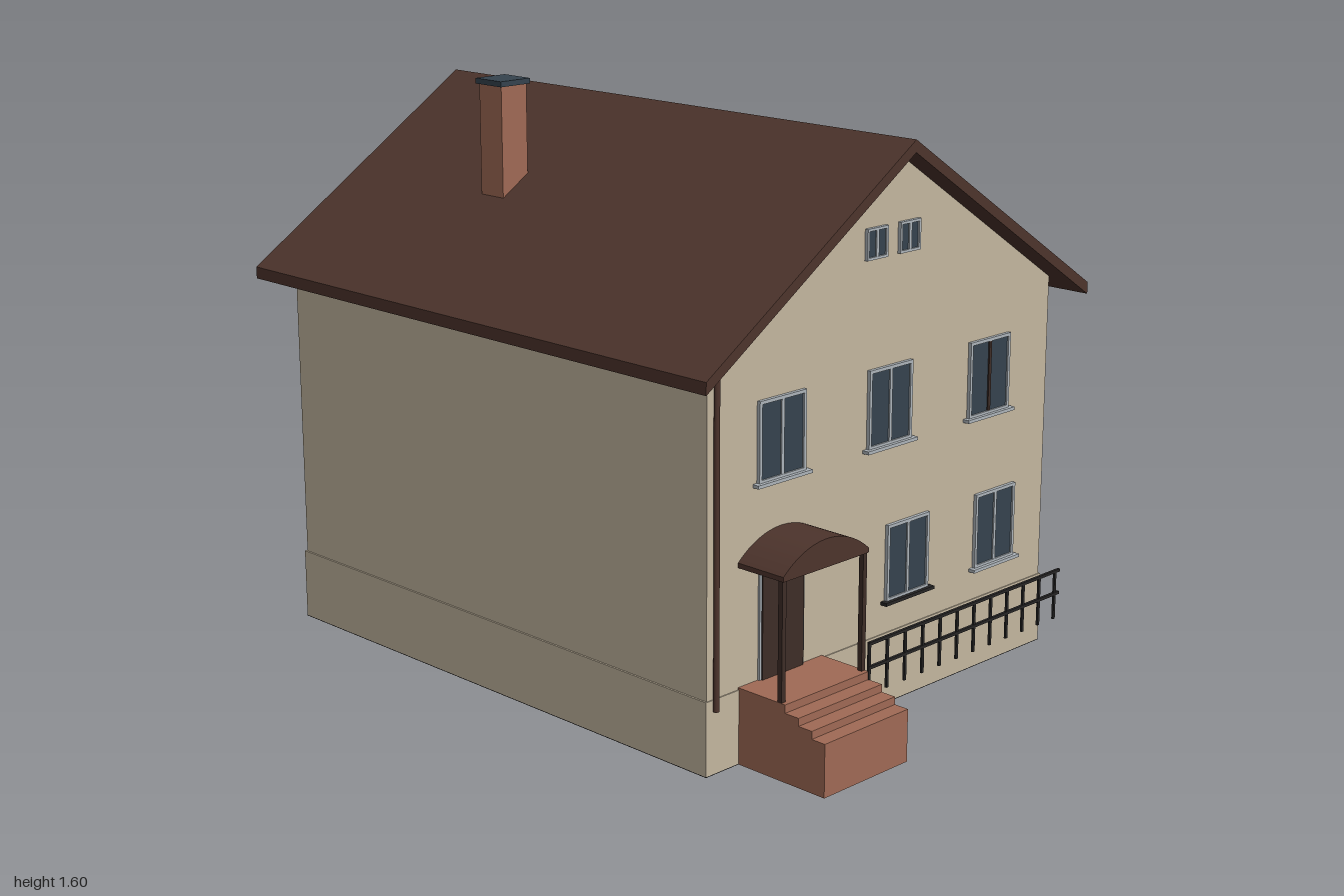
import * as THREE from 'three';

const mat = (name, color) => {
  const m = new THREE.MeshStandardMaterial({ color });
  m.name = name;
  return m;
};

export function createModel() {
  const model = new THREE.Group();
  model.name = 'house';
  const wall = mat('beige plaster', 0xc3b69f);
  const roofMat = mat('roof brown', 0x4d342c);
  const doorMat = mat('dark wood', 0x3e2d27);
  const brick = mat('brick', 0xa06a55);
  const glass = mat('window glass', 0x35434e);
  const trim = mat('pale grey trim', 0xadb4ba);
  const iron = mat('black iron', 0x262525);

  // Box given by its min and max corners
  const box = (name, m, x0, x1, y0, y1, z0, z1, parent = model) => {
    const mesh = new THREE.Mesh(new THREE.BoxGeometry(x1 - x0, y1 - y0, z1 - z0), m);
    mesh.position.set((x0 + x1) / 2, (y0 + y1) / 2, (z0 + z1) / 2);
    mesh.name = name;
    parent.add(mesh);
    return mesh;
  };

  // Profile in x/y, extruded from z0 to z1
  const prism = (name, m, shape, z0, z1, parent = model) => {
    const geo = new THREE.ExtrudeGeometry(shape, { depth: z1 - z0, bevelEnabled: false, curveSegments: 16 });
    const mesh = new THREE.Mesh(geo, m);
    mesh.position.z = z0;
    mesh.name = name;
    parent.add(mesh);
    return mesh;
  };
  const poly = pts => new THREE.Shape(pts.map(p => new THREE.Vector2(...p)));

  // Body with gables, and the slightly wider plinth
  prism('walls', wall, poly([[-0.67, 0.2], [0.67, 0.2], [0.67, 1.066], [0, 1.5], [-0.67, 1.066]]), -0.92, 0.708);
  box('plinth', wall, -0.675, 0.675, 0.002, 0.2, -0.926, 0.711);
  box('underside', iron, -0.675, 0.675, 0, 0.002, -0.926, 0.711);

  // Gable roof
  prism('roof', roofMat, poly([[-0.748, 1.012], [0, 1.497], [0.748, 1.012], [0.748, 1.045], [0, 1.53], [-0.748, 1.045]]), -1, 0.782);

  // Chimney and cap
  box('chimney', brick, -0.385, -0.295, 1.2, 1.585, -0.44, -0.35);
  box('chimneyCap', glass, -0.392, -0.288, 1.585, 1.6, -0.447, -0.343);

  // Window facing +z, origin at the middle of its lower edge
  const makeWindow = (w, h, { mullion = trim, sill = trim } = {}) => {
    const g = new THREE.Group();
    g.name = 'window';
    const b = w < 0.1 ? 0.007 : 0.009;
    const outer = poly([[-w / 2, 0], [w / 2, 0], [w / 2, h], [-w / 2, h]]);
    outer.holes.push(poly([[-w / 2 + b, b], [-w / 2 + b, h - b], [w / 2 - b, h - b], [w / 2 - b, b]]));
    prism('windowFrame', trim, outer, -0.005, 0.01, g);
    box('windowPane', glass, -w / 2 + b, w / 2 - b, b, h - b, -0.003, 0.005, g);
    if (mullion) box('windowMullion', mullion, -0.005, 0.005, b, h - b, 0.004, 0.009, g);
    if (sill) box('windowSill', sill, -w / 2 - 0.014, w / 2 + 0.014, -0.007, 0.002, -0.005, 0.02, g);
    return g;
  };
  const place = (win, x, y, z, ry = 0) => {
    win.position.set(x, y, z);
    win.rotation.y = ry;
    model.add(win);
  };

  // Front windows
  [-0.41, 0, 0.41].forEach((x, i) =>
    place(makeWindow(0.17, 0.212, { mullion: i === 2 ? doorMat : trim }), x, 0.724, 0.708));
  place(makeWindow(0.17, 0.212, { sill: iron }), 0.083, 0.29, 0.708);
  place(makeWindow(0.17, 0.212), 0.452, 0.29, 0.708);
  for (const s of [-1, 1]) place(makeWindow(0.08, 0.082, { sill: null }), s * 0.064, 1.225, 0.708);

  // Back and left side windows, two storeys each
  for (const y of [0.29, 0.722]) {
    [-0.445, 0, 0.445].forEach((x, i) =>
      place(makeWindow(0.21, 0.212, i === 1 ? { mullion: doorMat, sill: iron } : {}), x, y, -0.92, Math.PI));
    [0.435, -0.107, -0.65].forEach((z, i) =>
      place(makeWindow(0.206, 0.212, { mullion: null, sill: i === 1 && y < 0.5 ? iron : trim }), 0.67, y, z, Math.PI / 2));
  }

  // Entrance stairs
  const stairs = prism('stairs', brick, poly([
    [0.708, 0], [1, 0], [1, 0.142], [0.957, 0.142], [0.957, 0.163], [0.913, 0.163],
    [0.913, 0.184], [0.868, 0.184], [0.868, 0.206], [0.708, 0.206]]), 0, 0.312);
  stairs.rotation.y = -Math.PI / 2;
  stairs.position.set(-0.246, 0, 0);

  // Door with its pale surround
  box('doorSurround', trim, -0.487, -0.322, 0.206, 0.503, 0.7, 0.714);
  box('door', doorMat, -0.48, -0.328, 0.206, 0.497, 0.7, 0.718);
  box('doorLintel', trim, -0.495, -0.312, 0.507, 0.516, 0.7, 0.725);

  // Arched canopy on two posts
  const arch = new THREE.Shape();
  arch.moveTo(-0.56, 0.522);
  arch.lineTo(-0.245, 0.522);
  arch.lineTo(-0.245, 0.535);
  arch.quadraticCurveTo(-0.315, 0.596, -0.4025, 0.597);
  arch.quadraticCurveTo(-0.49, 0.596, -0.56, 0.535);
  prism('canopy', roofMat, arch, 0.708, 0.86);
  for (const x of [-0.55, -0.252])
    box('canopyPost', doorMat, x - 0.007, x + 0.007, 0.2, 0.525, 0.841, 0.855);

  // Drainpipe
  const pipe = new THREE.Mesh(new THREE.CylinderGeometry(0.008, 0.008, 0.88, 12), roofMat);
  pipe.position.set(-0.645, 0.61, 0.717);
  pipe.name = 'drainpipe';
  model.add(pipe);

  // Iron railing
  for (const y of [0.215, 0.28])
    box('railingBar', iron, -0.246, 0.55, y - 0.004, y + 0.004, 0.863, 0.871);
  for (let i = 0; i < 12; i++) {
    const x = -0.244 + i * 0.0705;
    box('railingPost', iron, x - 0.004, x + 0.004, 0.142, 0.28, 0.864, 0.87);
  }

  return model;
}
